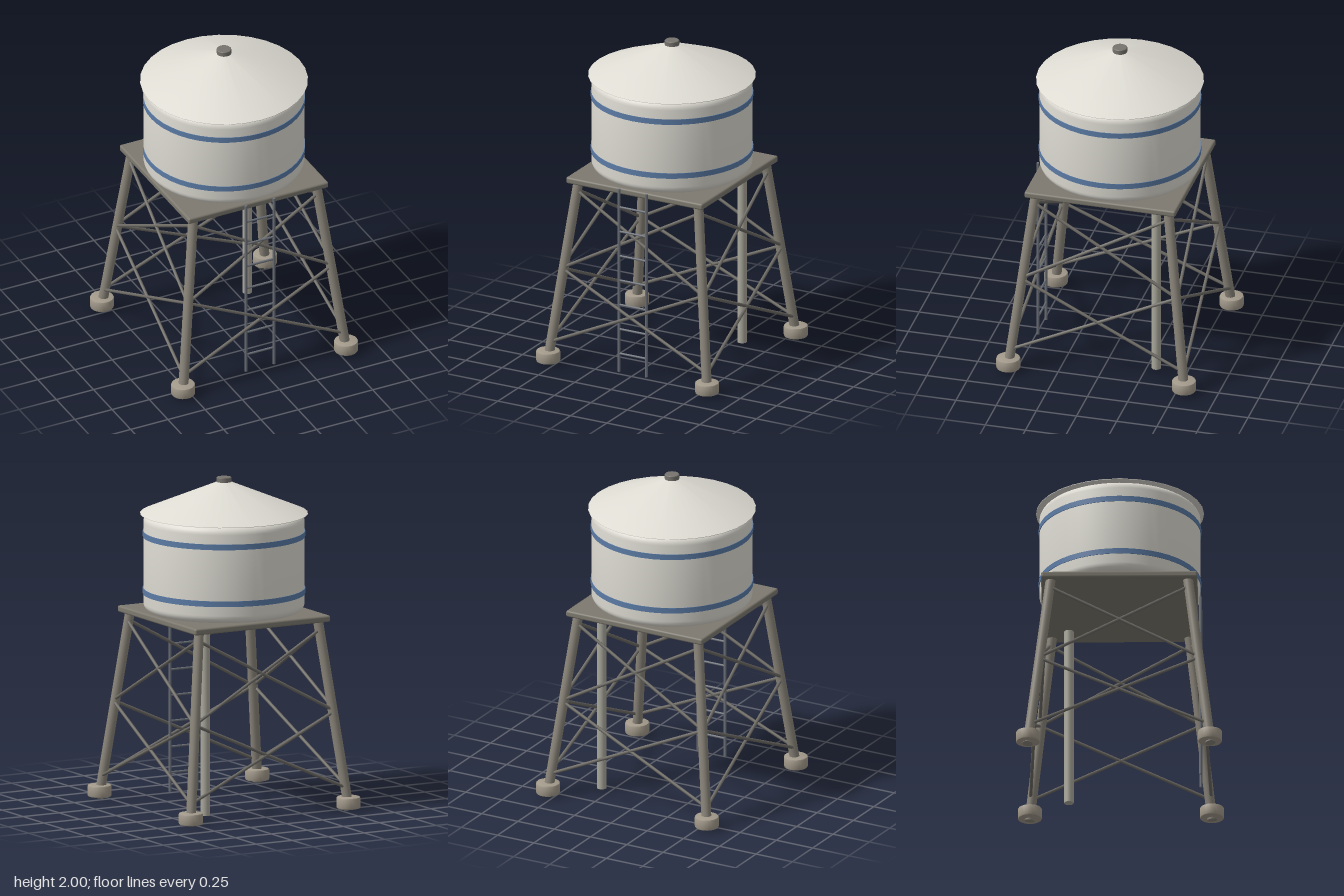
import * as THREE from 'three';
import { RoundedBoxGeometry } from 'three/addons/geometries/RoundedBoxGeometry.js';
import { toCreasedNormals } from 'three/addons/utils/BufferGeometryUtils.js';

const paint = (color) => new THREE.MeshStandardMaterial({ color });
const V = (x, y, z) => new THREE.Vector3(x, y, z);

export function createModel() {
  const model = new THREE.Group();
  const shell = paint(0xdedcd3), steel = paint(0x8a857a), deck = paint(0x7d796f);
  const brace = paint(0x6e6b65), rail = paint(0x6b7078), blue = paint(0x5b7ba5);
  const concrete = paint(0xa39a8b), pipeGrey = paint(0xaaa89c), capGrey = paint(0x77746e);

  function add(name, geometry, material, parent = model) {
    const mesh = new THREE.Mesh(geometry, material);
    mesh.name = name;
    parent.add(mesh);
    return mesh;
  }

  function group(name) {
    const g = new THREE.Group();
    g.name = name;
    model.add(g);
    return g;
  }

  // Round bar between two points
  function bar(name, a, b, radius, material, parent, sides = 10) {
    const dir = b.clone().sub(a);
    const mesh = add(name, new THREE.CylinderGeometry(radius, radius, dir.length(), sides), material, parent);
    mesh.position.copy(a).add(b).multiplyScalar(0.5);
    mesh.quaternion.setFromUnitVectors(V(0, 1, 0), dir.normalize());
    return mesh;
  }

  // Turned solid from [radius, y] pairs, listed from bottom to top
  function turned(points, segments) {
    const profile = points.map(([r, y]) => new THREE.Vector2(r, y));
    return toCreasedNormals(new THREE.LatheGeometry(profile, segments), 0.6);
  }

  // Tank with rounded rims
  const R = 0.485, bottom = 1.187, top = 1.78, round = 0.05;
  const tankProfile = [[0, bottom]];
  for (let i = 0; i <= 6; i++) {
    const a = (i / 6) * Math.PI / 2;
    tankProfile.push([R - round + round * Math.sin(a), bottom + round - round * Math.cos(a)]);
  }
  for (let i = 0; i <= 6; i++) {
    const a = (i / 6) * Math.PI / 2;
    tankProfile.push([R - round + round * Math.cos(a), top - round + round * Math.sin(a)]);
  }
  tankProfile.push([0, top]);
  add('tank', turned(tankProfile, 48), shell);

  // Painted hoops
  for (const y of [1.31, 1.657]) {
    add('hoop', turned([[0.475, y - 0.017], [0.489, y - 0.017], [0.489, y + 0.017], [0.475, y + 0.017]], 48), blue);
  }

  // Conical roof and its cap
  add('roof', turned([[0, 1.778], [0.505, 1.778], [0.505, 1.781], [0.04, 1.972], [0, 1.972]], 32), shell);
  add('roofCap', turned([[0, 1.964], [0.041, 1.964], [0.044, 1.967], [0.044, 1.997], [0.041, 2], [0, 2]], 24), capGrey);

  // Platform
  add('platform', new RoundedBoxGeometry(0.94, 0.04, 0.94, 3, 0.012), deck).position.y = 1.165;

  // Splayed legs on round footings
  const legX = (y) => 0.55 - 0.119 * y;
  const legs = group('legs'), footings = group('footings');
  for (const sx of [-1, 1]) {
    for (const sz of [-1, 1]) {
      const at = (y) => V(sx * legX(y), y, sz * legX(y));
      bar('leg', at(0.005), at(1.15), 0.03, steel, legs, 16);
      const foot = add('footing', turned([[0, 0.013], [0.062, 0.013], [0.07, 0.016], [0.073, 0.023],
        [0.073, 0.075], [0.07, 0.082], [0.062, 0.085], [0, 0.085]], 24), concrete, footings);
      foot.position.set(sx * 0.547, 0, sz * 0.547);
    }
  }

  // Two tiers of cross bracing on each side
  for (let side = 0; side < 4; side++) {
    const g = group('crossBracing');
    g.rotation.y = side * Math.PI / 2;
    for (const [y0, y1] of [[0.14, 0.6], [0.61, 1.1]]) {
      for (const s of [-1, 1]) {
        bar('brace', V(s * legX(y0), y0, legX(y0) + 0.01), V(-s * legX(y1), y1, legX(y1) + 0.01), 0.01, brace, g, 8);
      }
    }
  }

  // Front ladder
  const ladder = group('ladder'), ladderZ = 0.485;
  for (const x of [-0.094, 0.094]) {
    bar('ladderRail', V(x, 0.01, ladderZ), V(x, 1.185, ladderZ), 0.009, rail, ladder);
  }
  for (let i = 0; i < 7; i++) {
    const y = 0.127 + i * 0.157;
    bar('rung', V(-0.094, y, ladderZ), V(0.094, y, ladderZ), 0.007, rail, ladder, 8);
  }

  // Supply pipe under the platform
  bar('supplyPipe', V(0.31, 0.01, -0.31), V(0.31, 1.16, -0.31), 0.029, pipeGrey, model, 20);

  return model;
}
